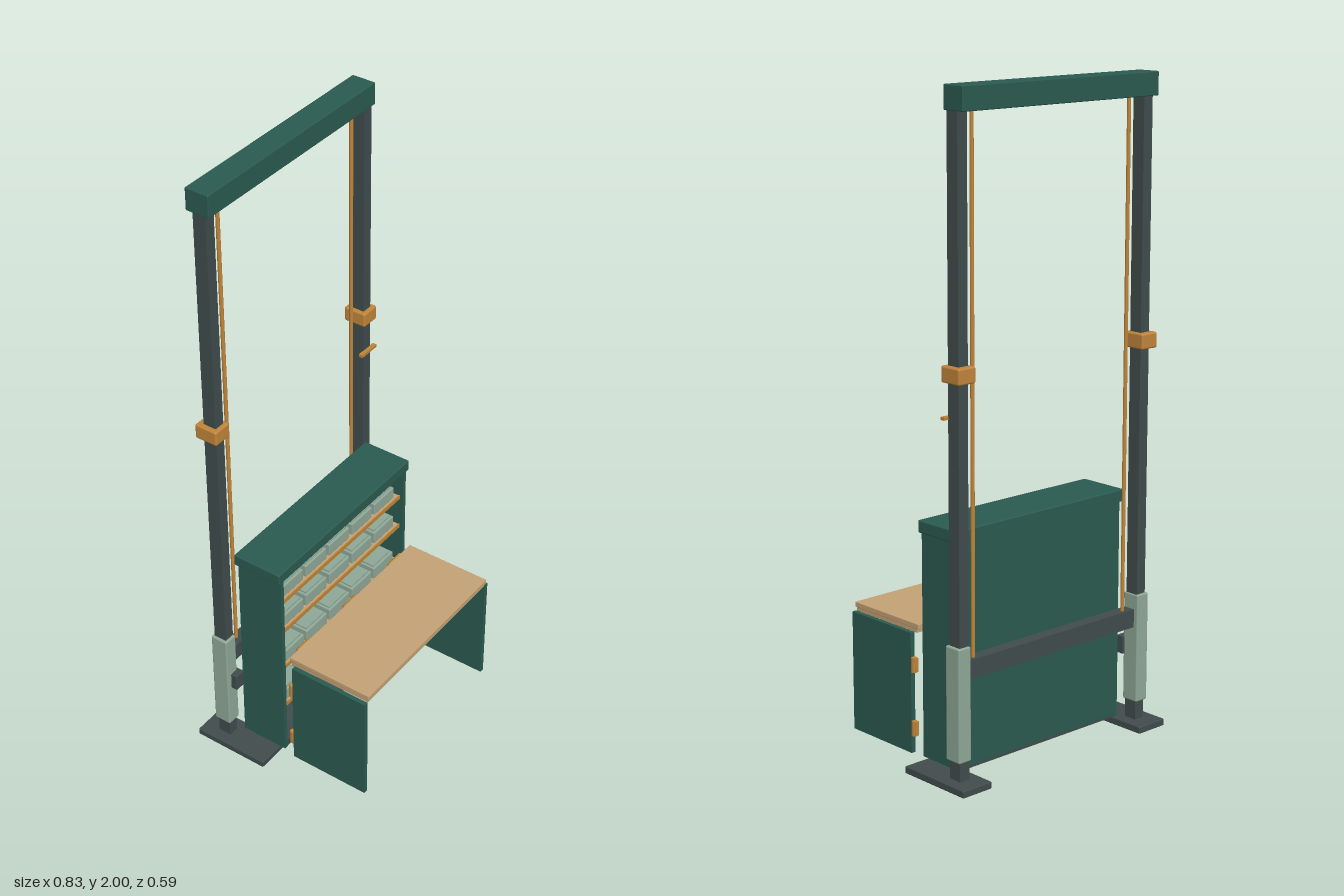
import * as THREE from 'three';
import { RoundedBoxGeometry } from 'three/addons/geometries/RoundedBoxGeometry.js';

const mat = (name, color) => {
  const m = new THREE.MeshStandardMaterial({ color });
  m.name = name;
  return m;
};

export function createModel() {
  const root = new THREE.Group();
  root.name = 'liftingWorkCabinet';
  const green = mat('deep green', 0x2b5b50);
  const steel = mat('dark steel', 0x414c4d);
  const amber = mat('amber', 0xc0853a);
  const tan = mat('light wood', 0xc4a276);
  const sage = mat('sage', 0x8fa897);
  const pale = mat('pale cream', 0xd6d3c0);

  // box given by its minimum and maximum on each axis; optional bevel
  const box = (name, m, x0, x1, y0, y1, z0, z1, bevel = 0, parent = root) => {
    const s = [x1 - x0, y1 - y0, z1 - z0];
    const g = bevel ? new RoundedBoxGeometry(...s, 2, bevel) : new THREE.BoxGeometry(...s);
    const mesh = new THREE.Mesh(g, m);
    mesh.position.set((x0 + x1) / 2, (y0 + y1) / 2, (z0 + z1) / 2);
    mesh.name = name;
    parent.add(mesh);
    return mesh;
  };
  // the same box on both sides, x measured outwards
  const pair = (name, m, x0, x1, ...rest) => {
    box(name + 'Left', m, x0, x1, ...rest);
    box(name + 'Right', m, -x1, -x0, ...rest);
  };
  const rod = (name, m, r, len, x, y, z, alongX = false) => {
    const mesh = new THREE.Mesh(new THREE.CylinderGeometry(r, r, len, 12), m);
    mesh.position.set(x, y, z);
    if (alongX) mesh.rotation.z = Math.PI / 2;
    mesh.name = name;
    root.add(mesh);
  };

  // lifting frame
  pair('foot', steel, 0.306, 0.415, 0, 0.022, -0.295, -0.04, 0.003);
  pair('post', steel, 0.343, 0.378, 0.02, 1.94, -0.24, -0.197);
  pair('sleeve', sage, 0.34, 0.387, 0.08, 0.425, -0.247, -0.189, 0.005);
  pair('collar', amber, 0.33, 0.394, 1.187, 1.235, -0.26, -0.184, 0.006);
  pair('latch', steel, 0.333, 0.37, 0.225, 0.282, -0.195, -0.168, 0.003);
  box('topBeam', green, -0.379, 0.379, 1.93, 2, -0.263, -0.185, 0.003);
  box('crossBar', steel, -0.353, 0.353, 0.32, 0.377, -0.232, -0.192);
  box('heightPointer', amber, 0.32, 0.395, 1.081, 1.09, -0.198, -0.184);
  for (const s of [-1, 1]) rod('liftCable', amber, 0.006, 1.57, s * 0.305, 1.15, -0.216);

  // cabinet shell
  pair('cabinetSide', green, 0.312, 0.326, 0.022, 0.715, -0.178, -0.02);
  box('cabinetBack', green, -0.312, 0.312, 0.03, 0.715, -0.178, -0.166);
  box('backCover', green, -0.318, 0.318, 0.045, 0.73, -0.185, -0.178);
  box('cabinetTop', green, -0.338, 0.338, 0.71, 0.748, -0.184, -0.017, 0.004);
  box('cabinetFloor', steel, -0.313, 0.313, 0.021, 0.045, -0.177, -0.022);

  // shelves with five bins each and small upright goods behind
  for (const y of [0.615, 0.498, 0.35, 0.19]) {
    box('shelf', tan, -0.312, 0.312, y - 0.01, y, -0.166, -0.035);
    box('shelfLip', amber, -0.312, 0.312, y - 0.011, y + 0.003, -0.035, -0.031);
    for (let i = -2; i <= 2; i++) {
      const x = i * 0.12;
      const unit = new THREE.Group();
      unit.name = 'storageUnit';
      unit.position.set(x, y, 0);
      root.add(unit);
      box('bin', sage, -0.053, 0.053, 0, 0.042, -0.105, -0.042, 0.003, unit);
      box('binRim', sage, -0.046, 0.046, 0.03, 0.047, -0.11, -0.05, 0, unit);
      [-0.028, 0.001, 0.03].forEach((dx, k) => {
        box('item', k ? amber : pale, dx - 0.011, dx + 0.011, 0, 0.088, -0.15, -0.122, 0, unit);
        box('itemLabel', k ? tan : steel, dx - 0.005, dx + 0.005, 0.055, 0.076, -0.122, -0.119, 0, unit);
      });
      box('itemEdge', tan, -0.052, -0.045, 0, 0.085, -0.15, -0.125, 0, unit);
    }
  }

  // fold-out desk resting on two opened doors
  box('desktop', tan, -0.322, 0.322, 0.407, 0.423, 0.003, 0.295, 0.002);
  box('desktopUnderlay', tan, -0.319, 0.319, 0.395, 0.407, 0.012, 0.29);
  pair('door', green, 0.321, 0.336, 0.022, 0.396, 0.022, 0.291);
  for (const x of [-0.243, -0.002, 0.242]) rod('deskHinge', amber, 0.007, 0.066, x, 0.412, -0.001, true);
  for (const s of [-1, 1]) for (const y of [0.1, 0.298]) {
    rod('doorHinge', amber, 0.009, 0.046, s * 0.329, y, 0.016);
    box('doorHingeLeaf', amber, s * 0.327 - 0.006, s * 0.327 + 0.006, y - 0.022, y + 0.022, 0.006, 0.024);
  }
  return root;
}
